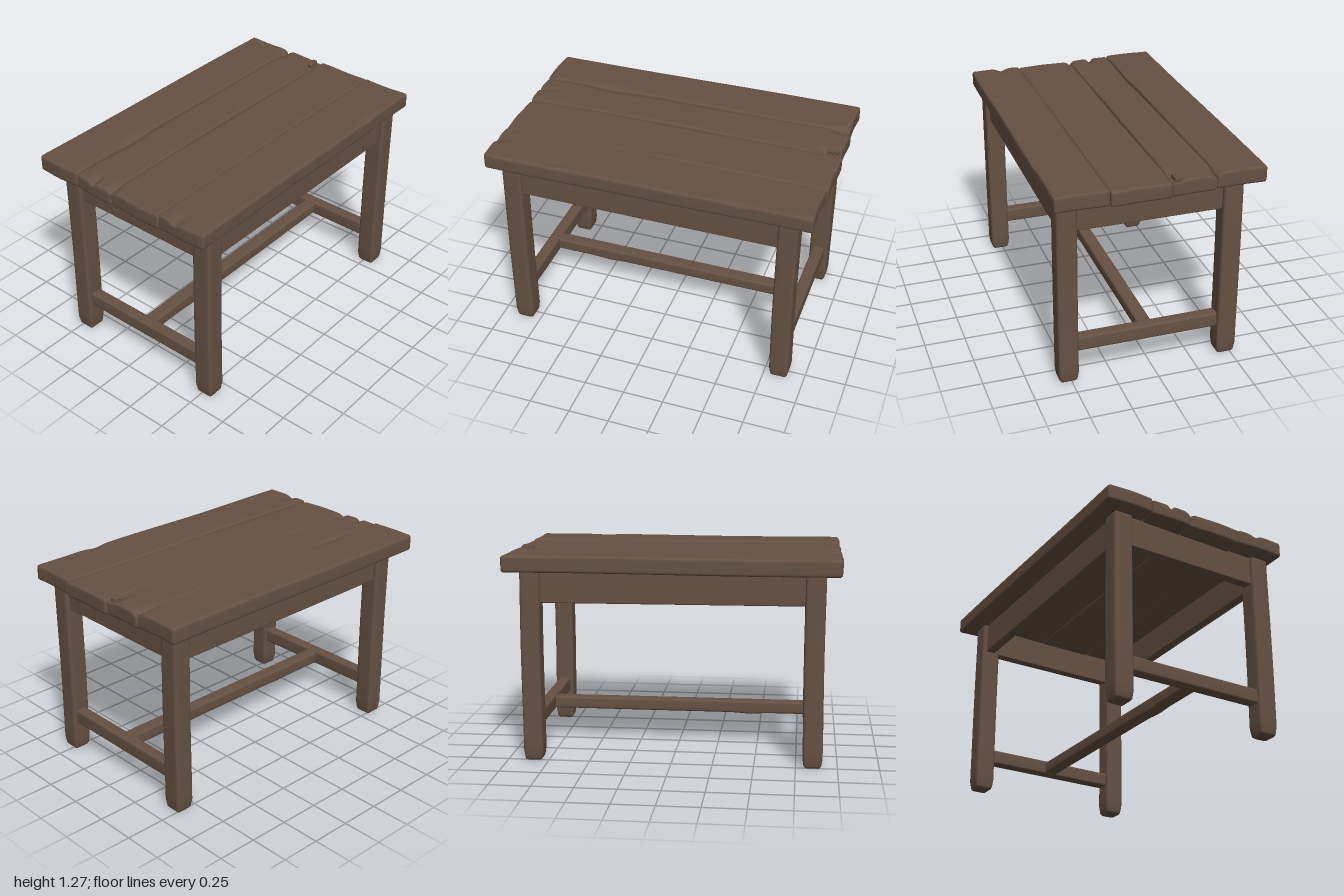
import * as THREE from 'three';
import { mergeVertices } from 'three/addons/utils/BufferGeometryUtils.js';

const wood = new THREE.MeshStandardMaterial({ color: 0x665142 });
wood.name = 'dark brown wood';

// Beam with rounded edges; wear(p, h) may move each vertex (h = half sizes)
function beam(name, size, centre, r, segs, wear) {
  const g = new THREE.BoxGeometry(...size, ...segs);
  g.deleteAttribute('uv');
  g.deleteAttribute('normal');
  const geo = mergeVertices(g, 1e-5);
  const pos = geo.attributes.position;
  const p = new THREE.Vector3();
  const inner = new THREE.Vector3();
  const h = new THREE.Vector3(...size).multiplyScalar(0.5);
  for (let i = 0; i < pos.count; i++) {
    p.fromBufferAttribute(pos, i);
    // gather two rows of vertices at each end for the rounding
    ['x', 'y', 'z'].forEach((a, k) => {
      const n = segs[k];
      const j = Math.round((p[a] / (2 * h[a]) + 0.5) * n);
      const core = h[a] - r;
      if (j <= 2) p[a] = -h[a] + r * j / 2;
      else if (j >= n - 2) p[a] = h[a] - r * (n - j) / 2;
      else p[a] = -core + 2 * core * (j - 2) / (n - 4);
      inner[a] = THREE.MathUtils.clamp(p[a], -core, core);
    });
    p.sub(inner).normalize().multiplyScalar(r).add(inner);
    if (wear) wear(p, h);
    pos.setXYZ(i, p.x, p.y, p.z);
  }
  geo.computeVertexNormals();
  const mesh = new THREE.Mesh(geo, wood);
  mesh.name = name;
  mesh.position.set(...centre);
  return mesh;
}

// Dents in the table top: x, z, radius x, radius z, depth
const dents = [
  [0.93, -0.09, 0.06, 0.025, 0.03], [-0.98, -0.2, 0.05, 0.016, 0.035],
  [-0.99, 0.42, 0.06, 0.03, 0.02], [-0.55, -0.33, 0.14, 0.025, 0.012],
  [0.95, -0.32, 0.06, 0.025, 0.025], [-0.55, 0.56, 0.03, 0.015, 0.01],
  [0.56, 0.61, 0.06, 0.02, 0.012], [-0.98, -0.06, 0.06, 0.02, 0.02],
];

export function createModel() {
  const table = new THREE.Group();
  table.name = 'table';

  // Four worn planks: back z, front z, top y, bottom y, right end x
  const planks = [
    [-0.625, -0.324, 1.275, 1.175, 0.985], [-0.324, -0.06, 1.266, 1.17, 0.993],
    [-0.06, 0.297, 1.26, 1.165, 1.0], [0.297, 0.617, 1.267, 1.17, 0.99],
  ];
  const top = new THREE.Group();
  top.name = 'tableTop';
  planks.forEach(([z0, z1, y1, y0, x1], k) => {
    const cx = (x1 - 1) / 2, cz = (z0 + z1) / 2;
    top.add(beam('plank', [x1 + 1, y1 - y0, z1 - z0], [cx, (y0 + y1) / 2, cz],
      0.016, [56, 8, 20], (p, h) => {
        const x = p.x + cx, z = p.z + cz;
        const up = THREE.MathUtils.clamp(p.y / h.y, 0, 1);
        for (const [dx, dz, rx, rz, depth] of dents) {
          p.y -= up * depth * Math.exp(-(((x - dx) / rx) ** 2) - ((z - dz) / rz) ** 2);
        }
        // slow waves on the surface, the ends and the outer edges
        p.y += 0.003 * Math.sin(x * 3.1 + k * 2) * Math.cos(z * 9);
        p.x += 0.004 * Math.sin(z * 17 + k) * (p.x / h.x) ** 8;
        if (k === 3 && p.z > h.z * 0.8) p.z += 0.003 * Math.sin(x * 6) - 0.002;
      }));
  });
  // lifted splinter at the right end
  const splinter = beam('splinter', [0.07, 0.025, 0.035], [0.94, 1.262, -0.095], 0.006, [6, 6, 6]);
  splinter.rotation.z = 0.08;
  top.add(splinter);
  table.add(top);

  // Legs with rounded, narrowing feet
  for (const side of [-1, 1]) {
    for (const [name, z] of [['frontLeg', 0.518], ['backLeg', -0.468]]) {
      table.add(beam(name, [0.12, 1.175, 0.122], [side * 0.846 - 0.003, 0.5925, z],
        0.018, [8, 28, 8], (p, h) => {
          const y = p.y + h.y;
          const s = 1 - 0.2 * Math.max(0, 1 - y / 0.07) ** 2;
          p.x *= s;
          p.z *= s;
          p.x += 0.002 * Math.sin(y * 5 + z * 4);
        }));
    }
  }

  // Aprons, front and back
  for (const [name, z] of [['frontApron', 0.522], ['backApron', -0.472]]) {
    table.add(beam(name, [1.62, 0.2, 0.06], [-0.003, 1.082, z], 0.008, [24, 8, 6],
      (p) => { if (p.y < 0) p.y -= 0.004 * p.x; }));
  }

  // Aprons and low rails at both ends
  for (const side of [-1, 1]) {
    const x = side * 0.845 - 0.003;
    table.add(beam('sideApron', [0.06, 0.2, 0.9], [x + side * 0.005, 1.088, 0.025], 0.008, [6, 8, 16]));
    table.add(beam('sideRail', [0.075, 0.092, 0.9], [x, 0.244, 0.025], 0.014, [6, 6, 16]));
  }

  // Long middle rail with a slightly worn underside
  table.add(beam('longRail', [1.68, 0.076, 0.085], [-0.003, 0.243, 0.025], 0.014, [40, 6, 6],
    (p) => { if (p.y < 0) p.y -= 0.007 * Math.exp(-(((p.x + 0.45) / 0.07) ** 2)); }));

  return table;
}
